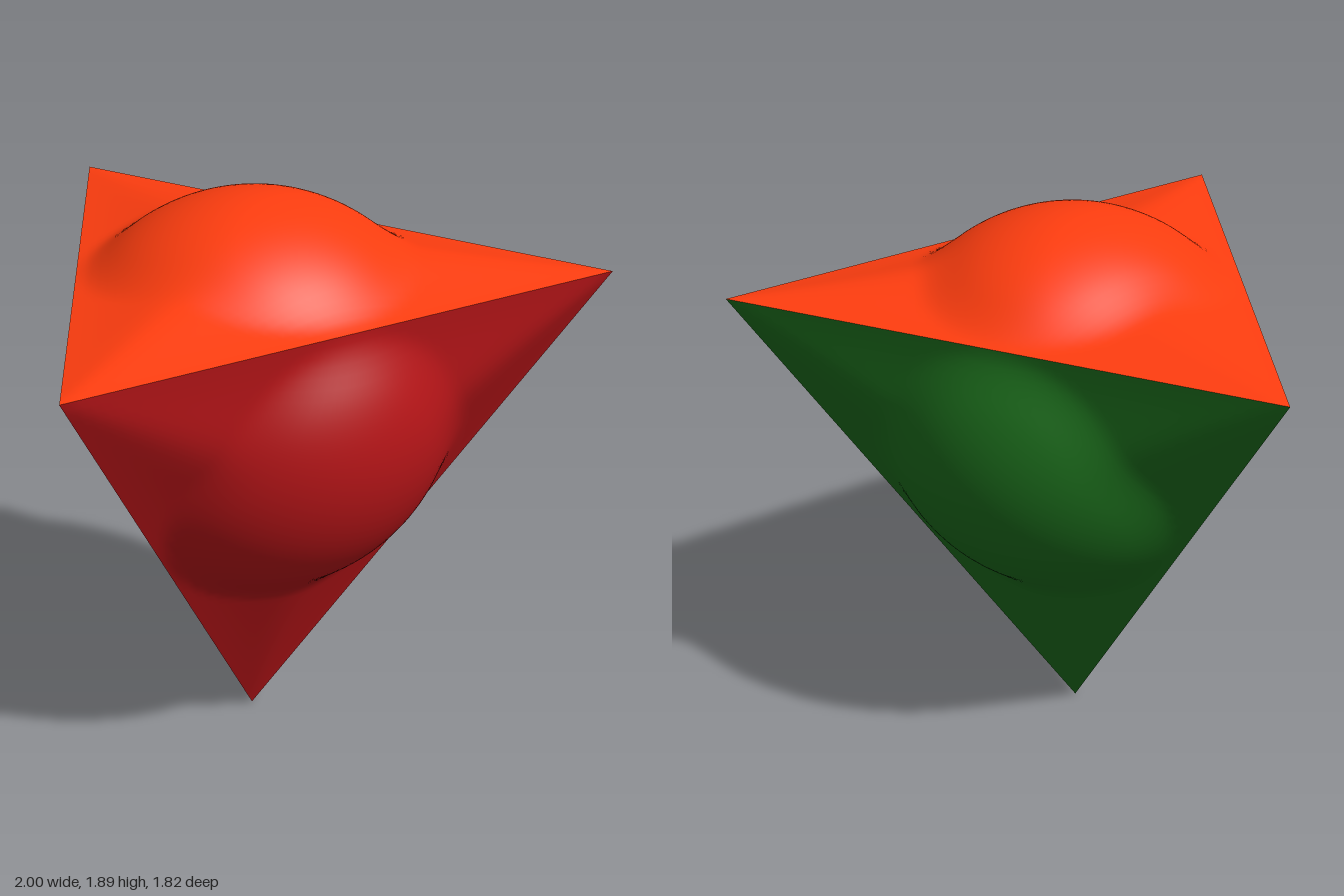
import * as THREE from 'three';

// Regular tetrahedron (edge 2) standing on one corner
const A = new THREE.Vector3(-1, 1.633, 0.82);
const B = new THREE.Vector3(1, 1.633, 0.82);
const C = new THREE.Vector3(0, 1.633, -0.912);
const D = new THREE.Vector3(0, 0, 0.243);
const CENTER = new THREE.Vector3().add(A).add(B).add(C).add(D).multiplyScalar(0.25);

const BALL = 0.667;      // radius of the ball pushing the faces outward
const INRADIUS = 0.408;  // distance from the centre to each face
const ALTITUDE = 1.732;  // altitude of each triangular face

// Smooth maximum; leaves values further apart than k untouched
function smoothMax(a, b, k) {
  const t = Math.max(k - Math.abs(a - b), 0) / k;
  return Math.max(a, b) + t * t * k * 0.25;
}

// Height of the stretched skin over a point with barycentric weights u, v, w
function bulge(u, v, w, r) {
  if (Math.min(u, v, w) < 1e-6) return 0;
  const d = [u, v, w].reduce((s, t) => s + Math.pow(t * ALTITUDE, -4), 0) ** -0.25;
  const ridge = 0.19 * d + 0.27 * d * d;
  const cap = Math.sqrt(Math.max(BALL * BALL - r * r, 0)) - INRADIUS;
  return smoothMax(ridge, cap, 0.06);
}

// Triangular grid p, q, s (counter-clockwise from outside), lifted along its normal
function faceGeometry(p, q, s, n, bulging) {
  const normal = q.clone().sub(p).cross(s.clone().sub(p)).normalize();
  const middle = p.clone().add(q).add(s).divideScalar(3);
  const positions = [], index = [];
  const id = (i, j) => (i * (i + 1)) / 2 + j;
  for (let i = 0; i <= n; i++) {
    for (let j = 0; j <= i; j++) {
      const u = (n - i) / n, v = (i - j) / n, w = j / n;
      const point = new THREE.Vector3()
        .addScaledVector(p, u).addScaledVector(q, v).addScaledVector(s, w);
      if (bulging) point.addScaledVector(normal, bulge(u, v, w, point.distanceTo(middle)));
      positions.push(point.x, point.y, point.z);
      if (i < n) {
        index.push(id(i, j), id(i + 1, j), id(i + 1, j + 1));
        if (j < i) index.push(id(i, j), id(i + 1, j + 1), id(i, j + 1));
      }
    }
  }
  const geometry = new THREE.BufferGeometry();
  geometry.setAttribute('position', new THREE.Float32BufferAttribute(positions, 3));
  geometry.setIndex(index);
  geometry.computeVertexNormals();
  return geometry;
}

export function createModel() {
  const group = new THREE.Group();
  group.name = 'bulgingTetrahedron';

  // Three bulging faces and one flat face
  const faces = [
    ['topFace', A, B, C, 0xff3d0f, true],
    ['frontFace', A, D, B, 0xb71518, true],
    ['leftFace', B, D, C, 0x1b6a1b, true],
    ['flatFace', C, D, A, 0x0f3c78, false],
  ];
  for (const [name, p, q, s, color, bulging] of faces) {
    const material = new THREE.MeshStandardMaterial({ color, side: THREE.DoubleSide });
    const mesh = new THREE.Mesh(faceGeometry(p, q, s, bulging ? 64 : 1, bulging), material);
    mesh.name = name;
    group.add(mesh);
  }
  return group;
}
